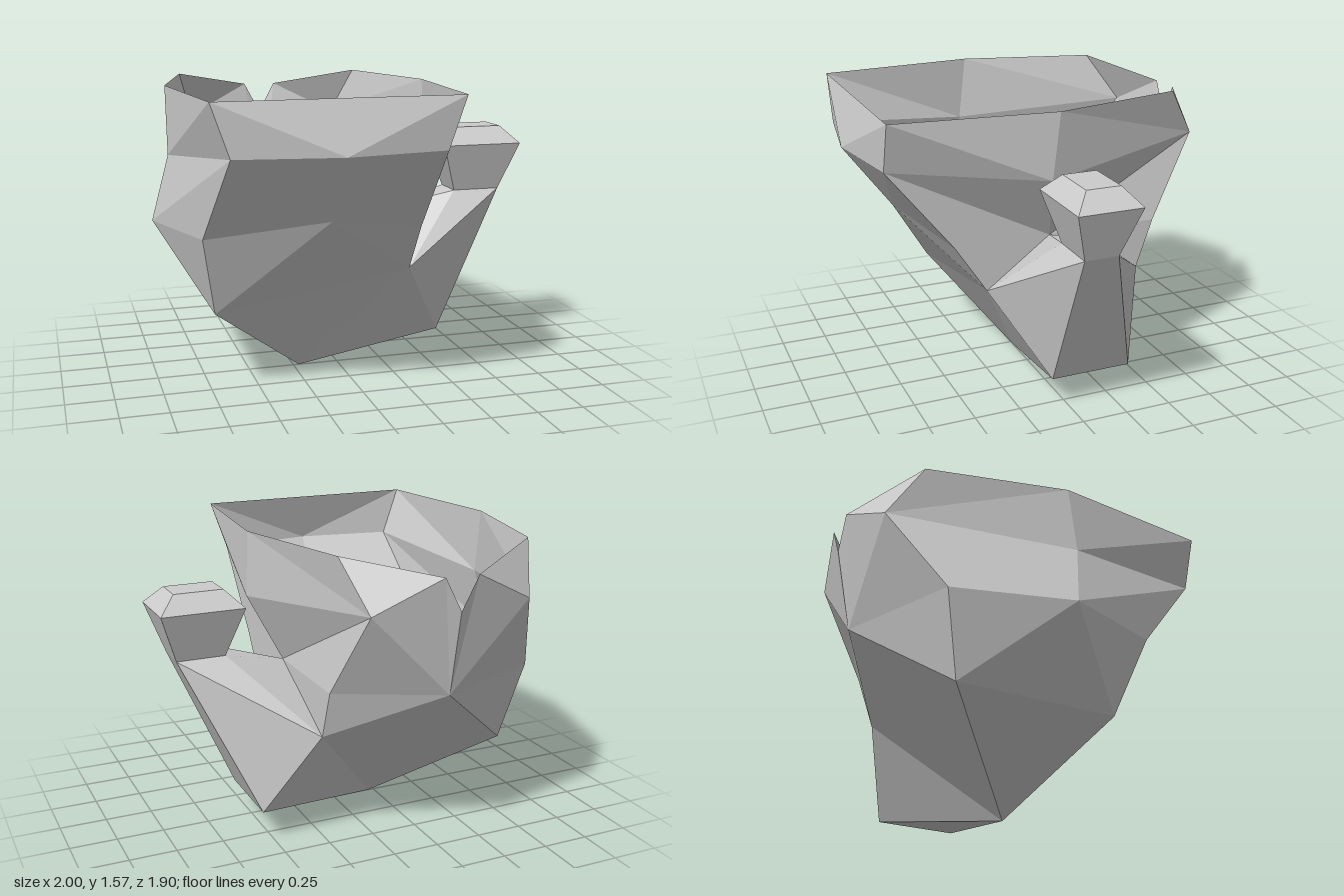
import * as THREE from 'three';

const material = new THREE.MeshStandardMaterial({
  color: 0xcccccc, flatShading: true, side: THREE.DoubleSide,
});

// Joins two rows of points; each letter of order advances the upper (u) or lower (l) row.
function zip(out, upper, lower, order, flip = false) {
  let i = 0, j = 0;
  for (const step of order) {
    const tri = step === 'u'
      ? [upper[i], lower[j], upper[++i]]
      : [upper[i], lower[j], lower[++j]];
    if (flip) tri.reverse();
    for (const p of tri) out.push(...p);
  }
}

function makeMesh(name, positions) {
  const g = new THREE.BufferGeometry();
  g.setAttribute('position', new THREE.Float32BufferAttribute(positions, 3));
  g.computeVertexNormals();
  const mesh = new THREE.Mesh(g, material);
  mesh.name = name;
  return mesh;
}

// Rectangular loop around the knob axis, from the front inner corner
function rect(x0, x1, z, y) {
  return [[x0, y, z], [x1, y, z], [x1, y, -z], [x0, y, -z]];
}

export function createModel() {
  const group = new THREE.Group();
  const CX = -0.22; // symmetry plane of the bowl

  // Points on the centre plane
  const lip = [CX, 1.31, 0.95], chest = [CX, 0.96, 0.69];
  const notch = [CX, 1.31, -0.95], back = [CX, 0.87, -0.87];
  const tip = [CX, 0, 0];

  // Base corners: the arm side sits higher
  const armFront = [0.30, 0.61, 0.35], armBack = [0.30, 0.61, -0.52];
  const baseFront = [-0.74, 0.44, 0.35], baseBack = [-0.74, 0.44, -0.52];

  // Arm and knob sections
  const neck = rect(0.65, 0.91, 0.09, 0.96);
  const knobWide = rect(0.56, 1.0, 0.17, 1.22);
  const knobTop = rect(0.65, 0.91, 0.09, 1.31);
  const elbowFront = [0.56, 0.17, 0.09], elbowBack = [0.56, 0.17, -0.35];

  // Bowl: thin open shell, rim band and belt mirrored on both sides
  const bowl = [];
  for (const s of [1, -1]) {
    const flip = s < 0;
    const at = (dx, y, z) => [CX + s * dx, y, z];
    const rim = [at(0.61, 1.57, 0.87), at(0.695, 1.57, 0.02), at(0.52, 1.57, -0.70),
      at(0.09, 1.48, -0.95), notch];
    const shoulder = [lip, at(0.52, 1.31, 0.87), at(0.695, 1.22, 0.06), at(0.43, 1.31, -0.87)];
    // The belt is flat on the arm side and bulges on the other
    const belt = s > 0
      ? [chest, [0.30, 0.87, 0.52], [0.30, 0.87, 0], [0.30, 0.87, -0.61], back]
      : [chest, [-0.82, 0.87, 0.52], [-1, 0.87, 0], [-0.83, 0.87, -0.61], back];
    zip(bowl, rim, [...shoulder, back], 'llululu'.replace('ululu', 'uluulu'), flip);
    zip(bowl, shoulder, belt, 'ulluull', flip);
    if (s > 0) zip(bowl, belt, [armFront, neck[0], neck[3], armBack], 'uullluu');
    else zip(bowl, belt, [baseFront, baseBack], 'uuluu', true);
  }
  // Front lip and chest panels
  zip(bowl, [[-0.83, 1.57, 0.87], [0.39, 1.57, 0.87]], [lip], 'u');
  zip(bowl, [chest], [baseFront, armFront], 'l');
  // Underside fan
  zip(bowl, [armFront, baseFront, baseBack, back, armBack, elbowBack, elbowFront, armFront],
    [tip], 'uuuuuuu', true);
  group.add(makeMesh('bowl', bowl));

  // Arm rising from the side of the bowl
  const arm = [];
  zip(arm, neck, [armFront, elbowFront, elbowBack, armBack], 'ullulu');
  group.add(makeMesh('arm', arm));

  // Knob on the end of the arm
  const knob = [];
  const loops = [neck, knobWide, knobTop].map((l) => [...l, l[0]]);
  for (let i = 0; i < 2; i++) zip(knob, loops[i + 1], loops[i], 'lulululu');
  zip(knob, [knobTop[3], knobTop[2]], [knobTop[0], knobTop[1]], 'lu');
  group.add(makeMesh('knob', knob));

  return group;
}
